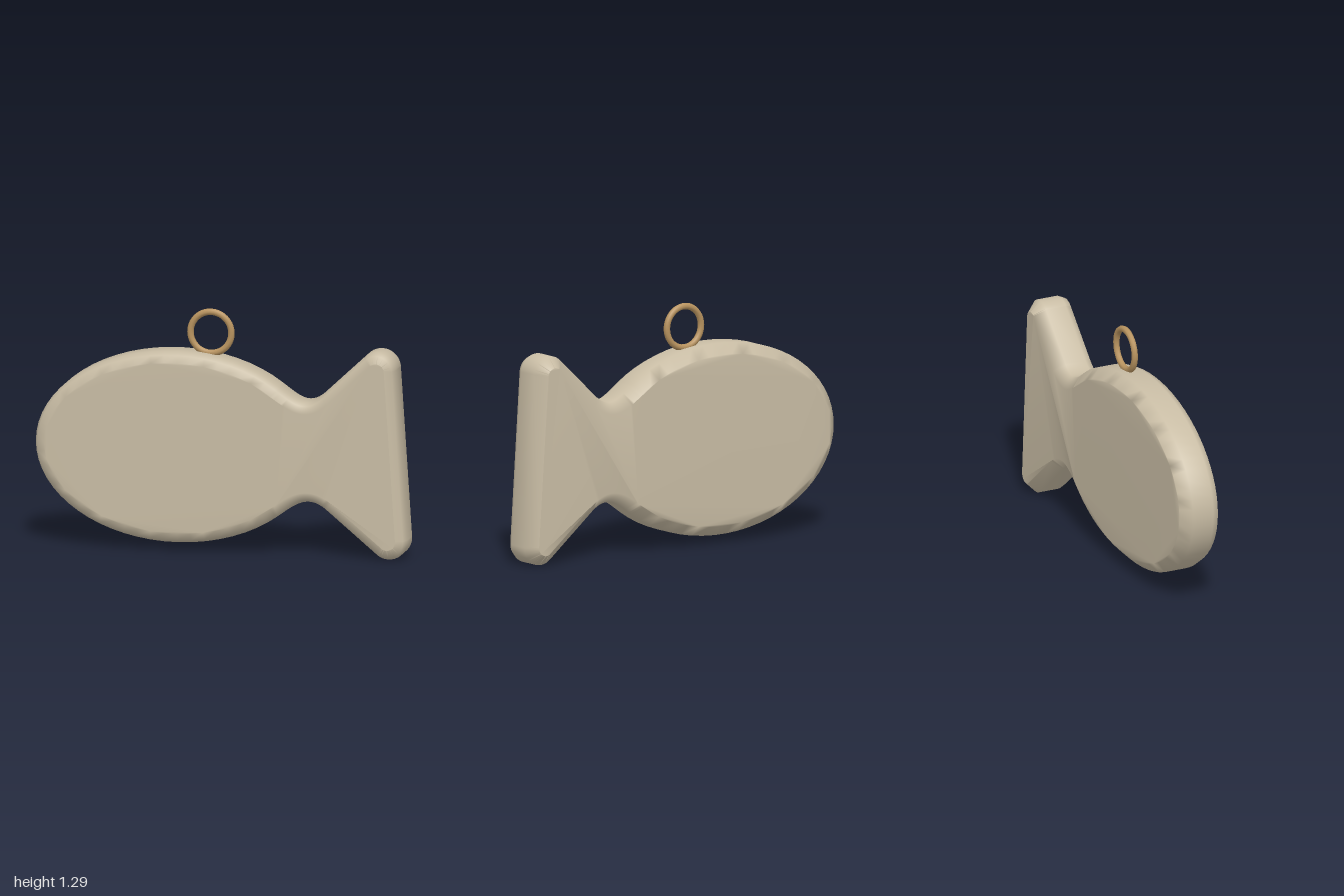
import * as THREE from 'three';

const clay = new THREE.MeshStandardMaterial({ name: 'warm clay', color: 0xc8bca4 });
const brass = new THREE.MeshStandardMaterial({ name: 'brass', color: 0xb8935f });

// Fish silhouette: oval body, pinched waist, flared tail with rounded tips
function fishOutline() {
  const p = new THREE.Path();
  p.absellipse(-0.25, 0.557, 0.75, 0.51, -0.748, 0.748, true);
  p.bezierCurveTo(0.4, 0.831, 0.45, 0.785, 0.54, 0.87);
  p.lineTo(0.766, 1.082);
  p.absarc(0.835, 1.01, 0.1, 2.34, 0.066, true);
  p.absarc(0.895, 0.105, 0.1, 0.066, -2.27, true);
  p.lineTo(0.56, 0.255);
  p.bezierCurveTo(0.46, 0.338, 0.39, 0.276, 0.3, 0.21);
  const pts = p.getPoints(24).filter((q, i, a) => i === 0 || q.distanceTo(a[i - 1]) > 0.004);
  if (pts[0].distanceTo(pts[pts.length - 1]) < 0.01) pts.pop();
  return pts.reverse();
}

// Outline moved inwards along its averaged normals
function insetLoop(pts, d) {
  const n = pts.length;
  return pts.map((q, i) => {
    const a = q.clone().sub(pts[(i + n - 1) % n]).normalize();
    const b = pts[(i + 1) % n].clone().sub(q).normalize();
    const t = a.add(b).normalize();
    return new THREE.Vector2(q.x - t.y * d, q.y + t.x * d);
  });
}

// Slab of stacked loops: plain chamfer at the back, rounded edge at the front
function slabGeometry(outline) {
  const layers = [[-0.11, 0.055], [-0.055, 0], [0.06, 0], [0.095, 0.016], [0.11, 0.055]];
  const n = outline.length;
  const pos = [];
  const idx = [];
  for (const [z, inset] of layers) {
    for (const q of insetLoop(outline, inset)) pos.push(q.x, q.y, z);
  }
  for (let l = 0; l < layers.length - 1; l++) {
    for (let i = 0; i < n; i++) {
      const a = l * n + i, b = l * n + (i + 1) % n;
      idx.push(a, b, b + n, a, b + n, a + n);
    }
  }
  const top = (layers.length - 1) * n;
  for (const [a, b, c] of THREE.ShapeUtils.triangulateShape(insetLoop(outline, 0.055), [])) {
    idx.push(top + a, top + b, top + c, c, b, a);
  }
  const g = new THREE.BufferGeometry();
  g.setAttribute('position', new THREE.Float32BufferAttribute(pos, 3));
  g.setIndex(idx);
  g.computeVertexNormals();
  return g;
}

export function createModel() {
  const group = new THREE.Group();
  group.name = 'fishPendant';

  const body = new THREE.Mesh(slabGeometry(fishOutline()), clay);
  body.name = 'fishBody';
  group.add(body);

  // Hanging loop on the back of the fish
  const ring = new THREE.Mesh(new THREE.TorusGeometry(0.11, 0.0175, 8, 40), brass);
  ring.name = 'hangingRing';
  ring.position.set(-0.073, 1.164, 0);
  group.add(ring);

  return group;
}
